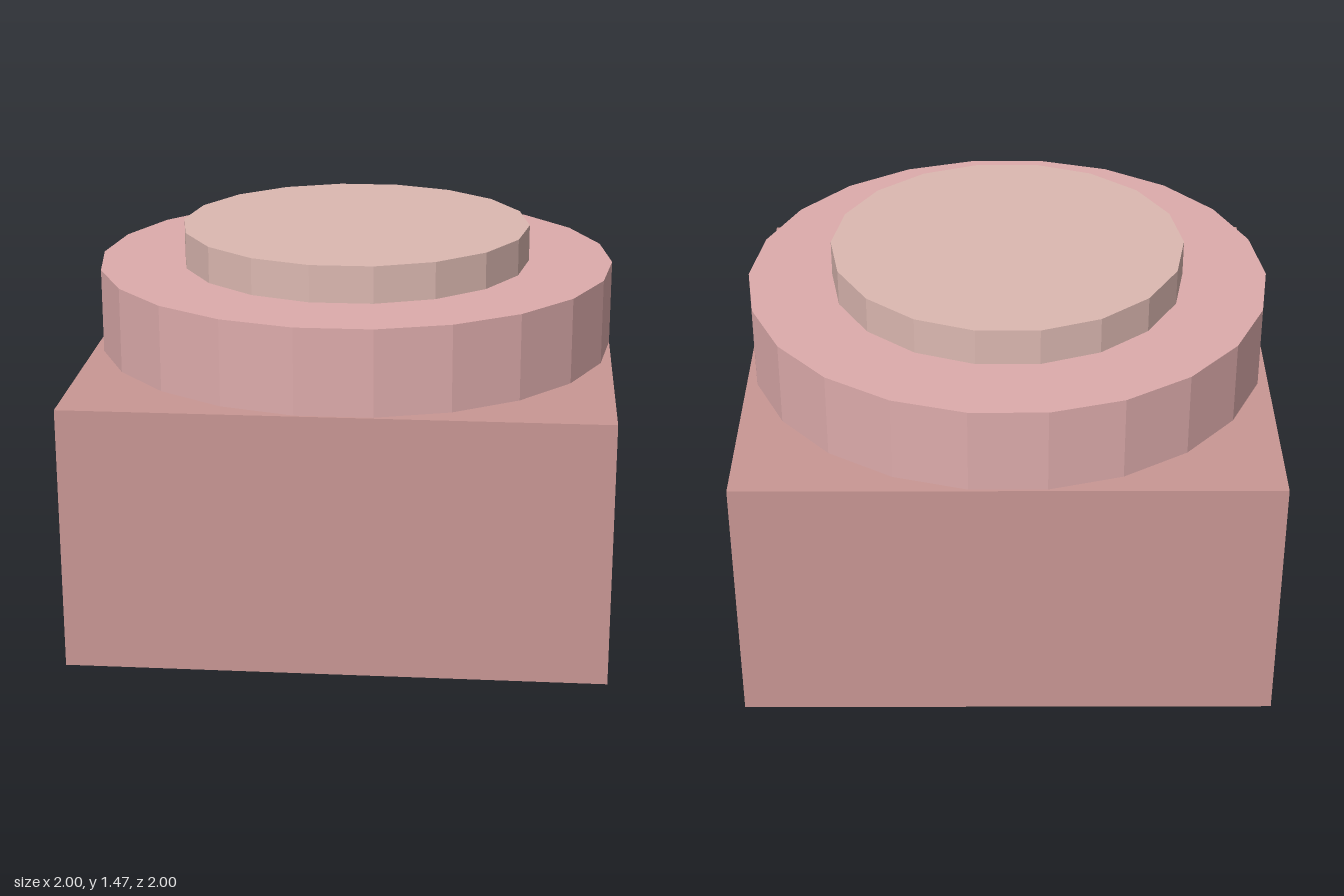
import * as THREE from 'three';

export function createModel() {
  const group = new THREE.Group();

  const add = (name, geometry, color, y) => {
    const material = new THREE.MeshStandardMaterial({ color, flatShading: true });
    const mesh = new THREE.Mesh(geometry, material);
    mesh.name = name;
    mesh.position.y = y;
    group.add(mesh);
  };

  // Faceted disc with corners on the x axis
  const disc = (radius, height, sides) =>
    new THREE.CylinderGeometry(radius, radius, height, sides, 1, false, Math.PI / 2);

  // Square block
  add('base', new THREE.BoxGeometry(2, 1, 2), 0xc99794, 0.5);
  // Wide 22-sided disc
  add('collar', disc(1, 0.325, 22), 0xddabab, 1.1625);
  // Narrower 18-sided disc on top
  add('cap', disc(0.677, 0.14, 18), 0xdcb8b1, 1.395);

  return group;
}
